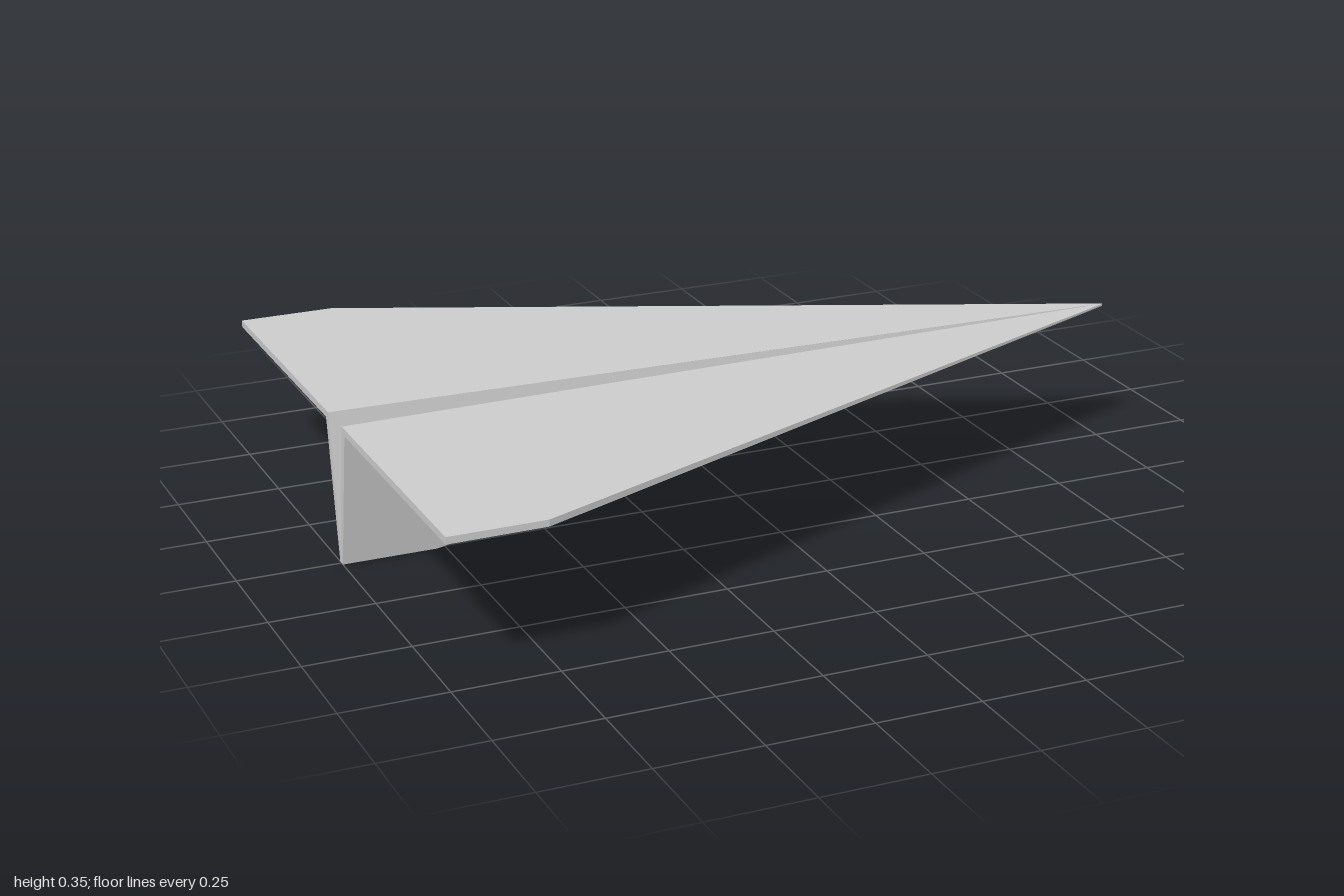
import * as THREE from 'three';

const material = new THREE.MeshStandardMaterial({ color: 0xcccccc, flatShading: true });

// Skins cross-sections { x, ring: [[z, y], ...] } running from tail to nose.
// The caps fan out from the first point of each ring.
function loft(name, sections) {
  const pos = [];
  const rings = sections.map(({ x, ring }) => ring.map(([z, y]) => [x, y, z]));
  const tri = (a, b, c) => pos.push(...a, ...b, ...c);
  const n = rings[0].length;
  for (let s = 0; s < rings.length - 1; s++) {
    const a = rings[s], b = rings[s + 1];
    for (let i = 0; i < n; i++) {
      const j = (i + 1) % n;
      tri(a[i], a[j], b[j]);
      tri(a[i], b[j], b[i]);
    }
  }
  const tail = rings[0], nose = rings[rings.length - 1];
  for (let i = 1; i < n - 1; i++) {
    tri(tail[0], tail[i + 1], tail[i]);
    tri(nose[0], nose[i], nose[i + 1]);
  }
  const geometry = new THREE.BufferGeometry();
  geometry.setAttribute('position', new THREE.Float32BufferAttribute(pos, 3));
  geometry.computeVertexNormals();
  const mesh = new THREE.Mesh(geometry, material);
  mesh.name = name;
  return mesh;
}

// Thin sheet: inner edge follows the fold, outer edge runs to the wing tip
const wingSection = (x, foldTop, foldBottom, tip, top, bottom) => ({
  x, ring: [[foldTop, top], [tip, top], [tip, bottom], [foldBottom, bottom]],
});

// Folded V: groove floor first, then around the outside
const keelSection = (x, inner, outer, base, top, under, bottom, groove) => ({
  x,
  ring: [[0, groove], [inner, top], [outer, under], [base, bottom],
    [-base, bottom], [-outer, under], [-inner, top]],
});

export function createModel() {
  const group = new THREE.Group();
  group.name = 'paperPlane';

  // Wings, the second one mirrored across the fold
  const wing = [
    wingSection(-1, 0.05, 0.068, 0.75, 0.354, 0.337),
    wingSection(-0.77, 0.044, 0.061, 0.75, 0.354, 0.338),
    wingSection(1, 0, 0, 0.002, 0.351, 0.346),
  ];
  const mirrored = wing.map(({ x, ring }) => ({
    x, ring: ring.map(([z, y]) => [-z, y]).reverse(),
  }));
  group.add(loft('frontWing', wing), loft('backWing', mirrored));

  // Folded keel with the open groove on top
  group.add(loft('keel', [
    keelSection(-1, 0.05, 0.068, 0.01, 0.354, 0.337, 0, 0.04),
    keelSection(-0.77, 0.044, 0.061, 0.01, 0.354, 0.338, 0, 0.04),
    keelSection(0.99, 0.001, 0.003, 0.001, 0.351, 0.346, 0.345, 0.349),
  ]));
  return group;
}
